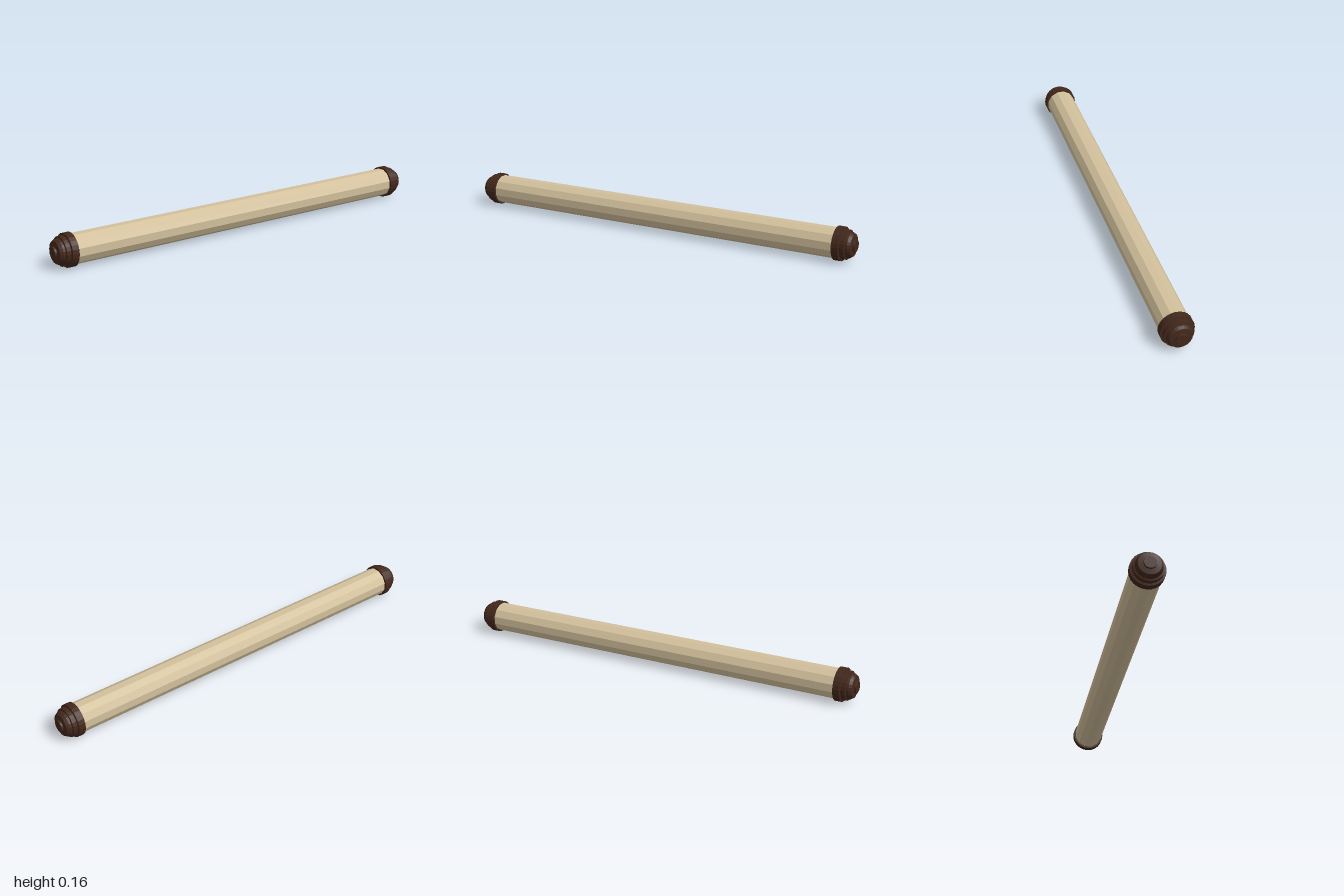
import * as THREE from 'three';

const CENTRE_Y = 0.078;

export function createModel() {
  const group = new THREE.Group();
  const paper = new THREE.MeshStandardMaterial({ color: 0xd2c09c, flatShading: true });
  const wood = new THREE.MeshStandardMaterial({ color: 0x42271b, flatShading: true });

  // Faceted roll lying along x
  const rollGeometry = new THREE.CylinderGeometry(0.07, 0.07, 1.82, 12);
  rollGeometry.rotateY(Math.PI / 12).rotateZ(-Math.PI / 2);
  const roll = new THREE.Mesh(rollGeometry, paper);
  roll.name = 'paperRoll';
  roll.position.y = CENTRE_Y;
  group.add(roll);

  // Stepped end cap: radius, distance from the middle
  const profile = [
    [0, 0.908], [0.078, 0.908], [0.078, 0.94], [0.068, 0.942], [0.068, 0.963],
    [0.06, 0.965], [0.059, 0.975], [0.051, 0.988], [0.028, 0.991], [0.027, 1], [0, 1],
  ].map(([r, d]) => new THREE.Vector2(r, d));
  const capGeometry = new THREE.LatheGeometry(profile, 24);
  capGeometry.rotateZ(-Math.PI / 2);

  for (const [name, turn] of [['leftCap', 0], ['rightCap', Math.PI]]) {
    const cap = new THREE.Mesh(capGeometry, wood);
    cap.name = name;
    cap.position.y = CENTRE_Y;
    cap.rotation.y = turn;
    group.add(cap);
  }
  return group;
}
